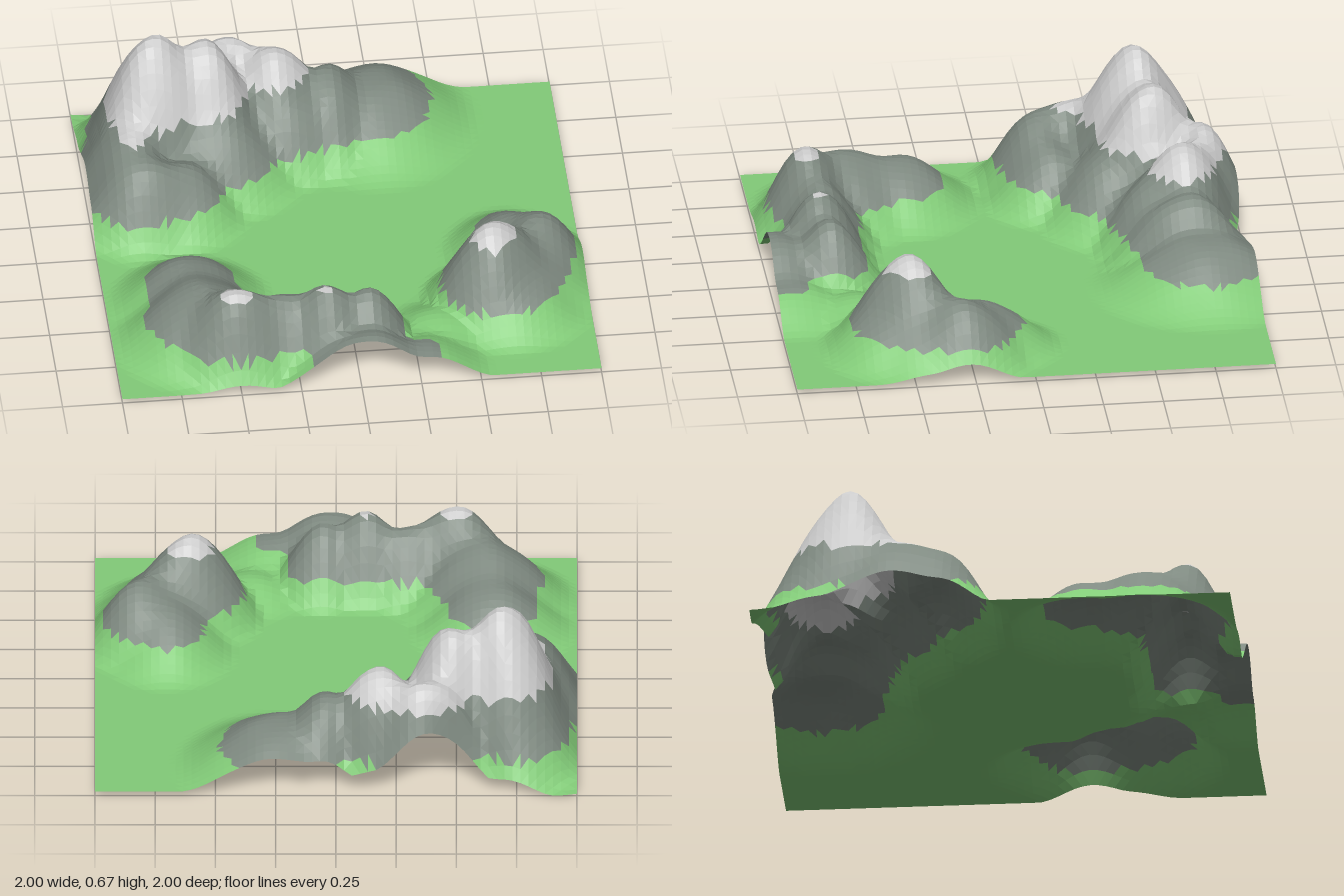
import * as THREE from 'three';

// Hills as [x, z, height, radius x, radius z]
const HILLS = [
  // back left massif
  [-0.70, -0.60, 0.65, 0.36, 0.38], [-0.48, -0.65, 0.58, 0.34, 0.36],
  [-0.38, -0.87, 0.44, 0.36, 0.27], [-0.18, -0.76, 0.45, 0.34, 0.32],
  [-0.45, -0.50, 0.33, 0.40, 0.36], [-0.15, -0.62, 0.30, 0.36, 0.28],
  [-0.72, -0.72, 0.42, 0.34, 0.34],
  // its left arm
  [-0.82, -0.40, 0.36, 0.30, 0.50], [-0.78, -0.20, 0.30, 0.34, 0.26],
  [-0.62, -0.25, 0.25, 0.30, 0.30],
  // its right shoulder
  [0.05, -0.75, 0.32, 0.24, 0.40], [0.24, -0.80, 0.22, 0.45, 0.50],
  // front left ridge
  [-0.50, 0.78, 0.36, 0.34, 0.26], [-0.62, 0.62, 0.27, 0.40, 0.40],
  [-0.65, 0.38, 0.21, 0.36, 0.36], [-0.30, 0.74, 0.28, 0.30, 0.26],
  [-0.12, 0.77, 0.34, 0.28, 0.26], [0.06, 0.75, 0.29, 0.24, 0.26],
  [0.02, 0.97, 0.22, 0.40, 0.34], [0.28, 0.95, 0.12, 0.28, 0.35],
  // right hill and the saddle beside it
  [0.58, 0.50, 0.37, 0.30, 0.32], [0.66, 0.46, 0.33, 0.26, 0.28],
  [0.82, 0.28, 0.27, 0.26, 0.32], [0.70, 0.20, 0.20, 0.30, 0.36],
  [0.72, 0.40, 0.24, 0.36, 0.40], [0.66, 0.58, 0.20, 0.36, 0.30],
  [0.35, 0.68, 0.09, 0.25, 0.25],
];
const SEGMENTS = 60;
const POWER = 5;

const gauss = (d, width) => Math.exp(-((d / width) ** 2));

// Smooth maximum of all hills, slightly roughened on the slopes
function height(x, z) {
  let sum = 0;
  for (const [cx, cz, h, rx, rz] of HILLS) {
    const d2 = ((x - cx) / rx) ** 2 + ((z - cz) / rz) ** 2;
    if (d2 < 1) sum += (h * (1 - d2) ** 2) ** POWER;
  }
  const rough = 1 + 0.025 * Math.sin(23 * x + 9 * z) * Math.sin(19 * z - 7 * x);
  const cornerDip = 0.02 * gauss(x + 0.9, 0.12) * gauss(z + 1, 0.08);
  return 0.02 + rough * sum ** (1 / POWER) - cornerDip;
}

// Grid point; the back edge is drawn in at two hollows
function surfacePoint(i, j) {
  const x = -1 + (2 * i) / SEGMENTS;
  const z = -1 + (2 * j) / SEGMENTS;
  const inset = (0.07 * gauss(x + 0.55, 0.16) + 0.04 * gauss(x + 0.03, 0.14)) * gauss(z + 1, 0.1);
  return new THREE.Vector3(x, height(x, z), z + inset);
}

export function createModel() {
  const group = new THREE.Group();
  group.name = 'mountainTerrain';

  // Height bands share one surface
  const bands = [
    { name: 'grassland', top: 0.13, color: 0x82cb78, points: [] },
    { name: 'rockSlopes', top: 0.35, color: 0x7f8a81, points: [] },
    { name: 'palePeaks', top: Infinity, color: 0xcccccc, points: [] },
  ];
  const addTriangle = (a, b, c) => {
    const mean = (a.y + b.y + c.y) / 3;
    bands.find((band) => mean < band.top).points.push(a, b, c);
  };

  for (let j = 0; j < SEGMENTS; j++) {
    for (let i = 0; i < SEGMENTS; i++) {
      const a = surfacePoint(i, j);
      const b = surfacePoint(i, j + 1);
      const c = surfacePoint(i + 1, j + 1);
      const d = surfacePoint(i + 1, j);
      // split each cell along its flatter diagonal
      if (Math.abs(a.y - c.y) < Math.abs(b.y - d.y)) {
        addTriangle(a, b, c);
        addTriangle(a, c, d);
      } else {
        addTriangle(a, b, d);
        addTriangle(b, c, d);
      }
    }
  }

  for (const { name, color, points } of bands) {
    const geometry = new THREE.BufferGeometry().setFromPoints(points);
    geometry.computeVertexNormals();
    const material = new THREE.MeshStandardMaterial({ color, flatShading: true, side: THREE.DoubleSide });
    const mesh = new THREE.Mesh(geometry, material);
    mesh.name = name;
    group.add(mesh);
  }
  return group;
}
